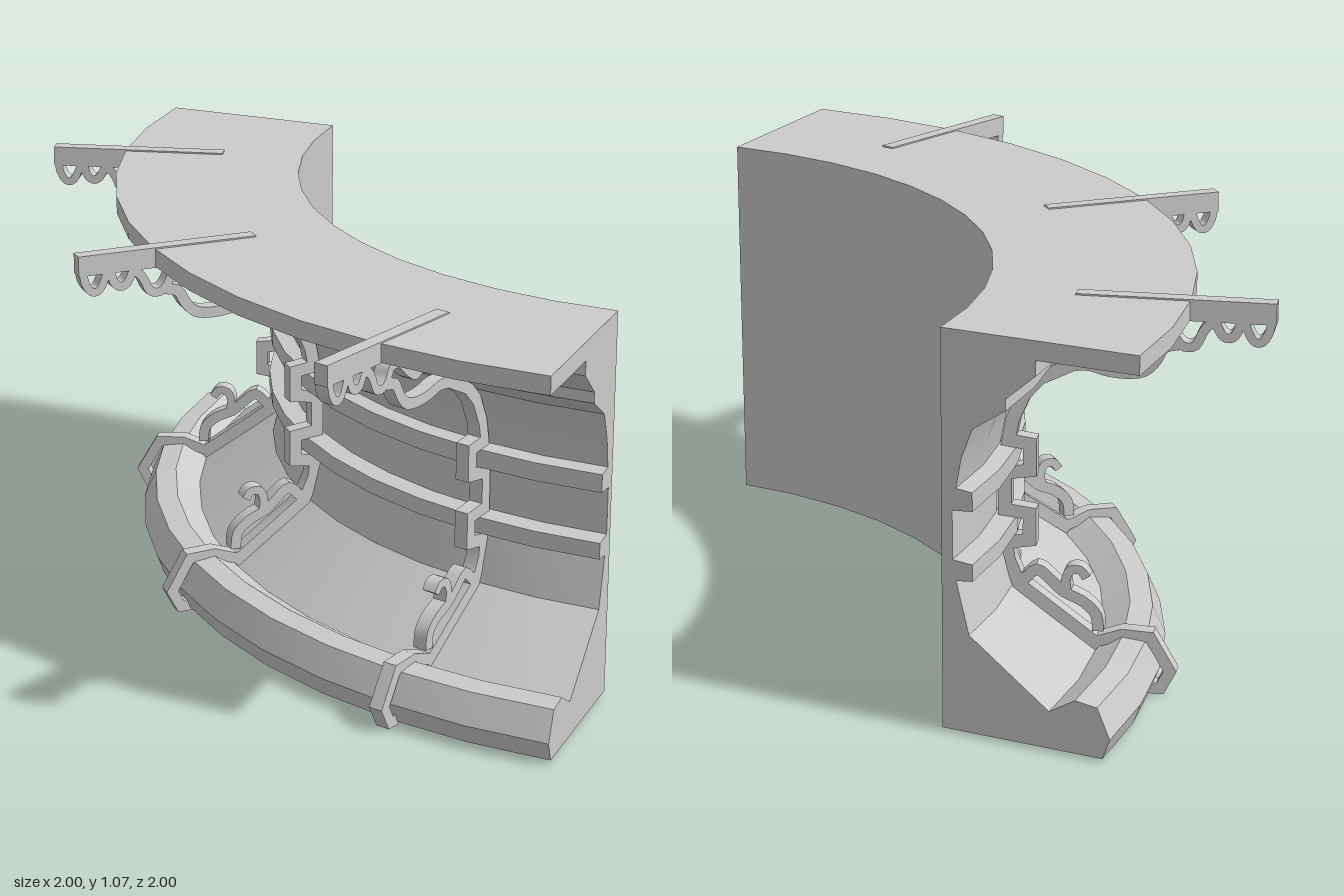
import * as THREE from 'three';
import { toCreasedNormals } from 'three/addons/utils/BufferGeometryUtils.js';

const material = new THREE.MeshStandardMaterial({ color: 0xcccccc });
const capMaterial = new THREE.MeshStandardMaterial({ color: 0xcccccc, side: THREE.DoubleSide });

// Cornice cross-section as (radius, height), counterclockwise
const section = [
  [1.325, 0], [1.765, 0], [1.785, 0.055], [1.75, 0.135], [1.69, 0.143], [1.62, 0.1],
  [1.4, 0.265], [1.365, 0.405], [1.41, 0.41], [1.41, 0.455], [1.355, 0.46],
  [1.355, 0.59], [1.41, 0.595], [1.41, 0.645], [1.365, 0.65], [1.38, 0.73], [1.41, 0.81],
  [1.5, 0.87], [1.5, 0.9], [1.58, 0.97], [1.58, 1.01], [1.85, 1.01], [1.85, 1.06], [1.325, 1.06],
].map(([r, y]) => new THREE.Vector2(r, y));

// Constant-width strip around a path, as a flat shape
function ribbon(pts, width, smooth) {
  let p = pts.map(([x, y]) => new THREE.Vector2(x, y));
  if (smooth) p = new THREE.SplineCurve(p).getPoints((pts.length - 1) * 3);
  const a = [], b = [];
  p.forEach((q, i) => {
    const d0 = q.clone().sub(p[Math.max(i - 1, 0)]).normalize();
    const d1 = p[Math.min(i + 1, p.length - 1)].clone().sub(q).normalize();
    const t = d0.clone().add(d1).normalize();
    const ref = i ? d0 : d1;
    const k = width / 2 / Math.max(0.65, t.dot(ref));
    const n = new THREE.Vector2(-t.y, t.x).multiplyScalar(k);
    a.push(q.clone().add(n));
    b.unshift(q.clone().sub(n));
  });
  return new THREE.Shape([...a, ...b]);
}

function plate(name, shape, depth) {
  const g = new THREE.ExtrudeGeometry(shape, { depth, bevelEnabled: false, curveSegments: 6 });
  g.translate(0, 0, -depth / 2);
  const m = new THREE.Mesh(toCreasedNormals(g, 0.6), material);
  m.name = name;
  return m;
}

function createBracket() {
  const g = new THREE.Group();
  const add = (name, pts, width, smooth = false) =>
    g.add(plate(name, ribbon(pts, width, smooth), 0.04));

  // Top bar reaching past the slab
  add('topBar', [[1.56, 1.036], [2.065, 1.036]], 0.056);
  // Hanging scrolls under the bar
  add('tipScroll', [[2.053, 1.03], [2.048, 0.99], [2.03, 0.962], [2.008, 0.965], [1.99, 1.0], [1.982, 1.03]], 0.022, true);
  add('secondScroll', [[1.978, 1.03], [1.968, 0.985], [1.95, 0.968], [1.93, 0.975], [1.91, 1.005],
    [1.885, 0.985], [1.865, 0.945], [1.835, 0.94], [1.815, 0.96], [1.8, 0.985], [1.765, 0.985],
    [1.725, 0.95], [1.695, 0.935], [1.67, 0.955], [1.65, 0.99]], 0.024, true);
  add('upperScroll', [[1.82, 0.945], [1.785, 0.935], [1.765, 0.9], [1.735, 0.87], [1.69, 0.862],
    [1.64, 0.866], [1.59, 0.878], [1.535, 0.87]], 0.03, true);

  // Strap following the hollow and wrapping both mouldings
  add('strap', [[1.55, 0.875], [1.47, 0.835], [1.43, 0.79], [1.4, 0.72], [1.39, 0.665],
    [1.445, 0.657], [1.445, 0.585], [1.38, 0.575], [1.38, 0.475], [1.445, 0.467],
    [1.445, 0.395], [1.385, 0.385], [1.39, 0.34], [1.42, 0.27], [1.63, 0.115]], 0.035);

  // Lower scroll above the foot
  add('lowerScroll', [[1.625, 0.155], [1.62, 0.2], [1.585, 0.235], [1.535, 0.258], [1.5, 0.29],
    [1.465, 0.315], [1.43, 0.285], [1.4, 0.27]], 0.03, true);
  add('curl', [[1.545, 0.255], [1.54, 0.29], [1.552, 0.318], [1.578, 0.32], [1.594, 0.3]], 0.024, true);
  // Strap over the foot moulding
  add('footStrap', [[1.62, 0.125], [1.69, 0.15], [1.762, 0.147], [1.815, 0.055], [1.79, 0.006], [1.7, 0.006]], 0.03);
  return g;
}

export function createModel() {
  const model = new THREE.Group();
  const ring = new THREE.Group();
  ring.name = 'curvedCornice';
  ring.position.set(1, 0, -1);
  model.add(ring);

  // Quarter-ring body
  const body = new THREE.Mesh(
    toCreasedNormals(new THREE.LatheGeometry([...section, section[0]], 12, -Math.PI / 2, Math.PI / 2), 0.3), material);
  body.name = 'body';
  ring.add(body);

  // End faces
  for (const phi of [-Math.PI / 2, 0]) {
    const cap = new THREE.Mesh(new THREE.ShapeGeometry(new THREE.Shape(section)), capMaterial);
    cap.rotation.y = phi - Math.PI / 2;
    cap.name = 'endFace';
    ring.add(cap);
  }

  // Three scrolled brackets
  for (const deg of [-75, -45, -15]) {
    const bracket = createBracket();
    bracket.name = 'bracket';
    bracket.rotation.y = THREE.MathUtils.degToRad(deg - 90);
    ring.add(bracket);
  }
  return model;
}
